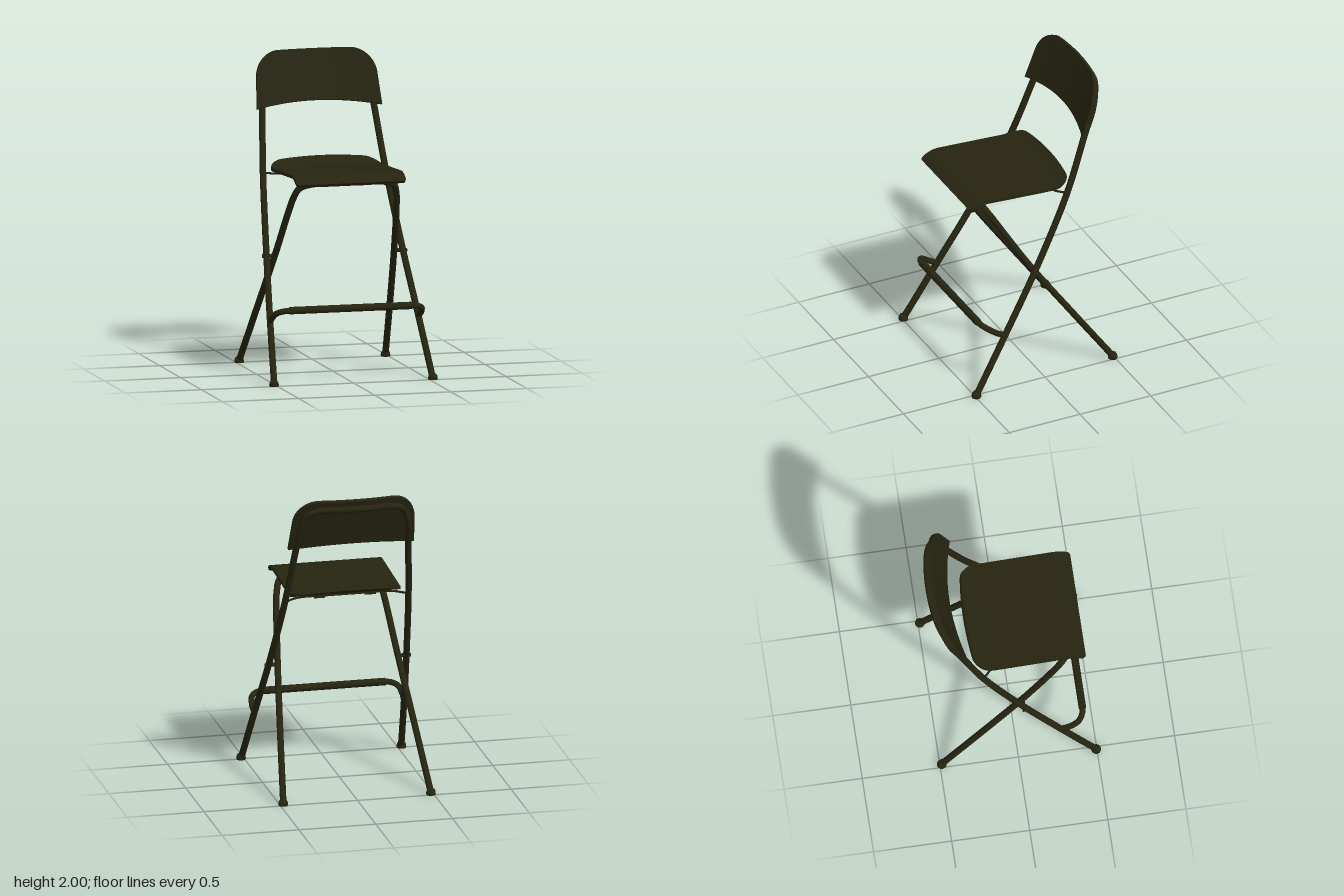
import * as THREE from 'three';

const V = (x, y, z) => new THREE.Vector3(x, y, z);

// Closed curved plate: f(u, v) is the upper face (u, v in -1..1 and 0..1), off(p) the thickness vector.
function slab(f, off, n = 40, m = 24) {
  const pos = [], idx = [];
  const put = p => pos.push(p.x, p.y, p.z) / 3 - 1;
  const top = (i, j) => f(Math.sin((i / n - 0.5) * Math.PI), j / m);
  const low = (i, j) => { const p = top(i, j); return p.clone().add(off(p)); };
  for (const [pt, flip] of [[top, false], [low, true]]) {
    const base = pos.length / 3;
    for (let i = 0; i <= n; i++) for (let j = 0; j <= m; j++) put(pt(i, j));
    for (let i = 0; i < n; i++) for (let j = 0; j < m; j++) {
      const a = base + i * (m + 1) + j, b = a + 1, c = a + m + 1, d = c + 1;
      if (flip) idx.push(a, c, b, b, c, d);
      else idx.push(a, b, c, b, d, c);
    }
  }
  // rim
  const loop = [];
  for (let i = 0; i < n; i++) loop.push([i, 0]);
  for (let j = 0; j < m; j++) loop.push([n, j]);
  for (let i = n; i > 0; i--) loop.push([i, m]);
  for (let j = m; j > 0; j--) loop.push([0, j]);
  const base = pos.length / 3, L = loop.length;
  for (const [i, j] of loop) { put(top(i, j)); put(low(i, j)); }
  for (let k = 0; k < L; k++) {
    const a = base + 2 * k, b = base + 2 * ((k + 1) % L);
    idx.push(a, b, a + 1, b, b + 1, a + 1);
  }
  const g = new THREE.BufferGeometry();
  g.setAttribute('position', new THREE.Float32BufferAttribute(pos, 3));
  g.setIndex(idx);
  g.computeVertexNormals();
  return g;
}

// Drop of a rounded corner of radius r on an edge of half width w
const corner = (x, w, r) => {
  const d = Math.max(0, Math.abs(x) - (w - r));
  return r - Math.sqrt(Math.max(0, r * r - d * d));
};

export function createModel() {
  const model = new THREE.Group();
  const paint = new THREE.MeshStandardMaterial({ color: 0x262410, side: THREE.DoubleSide });
  paint.name = 'dark olive paint';

  const add = (name, geo, x = 0, y = 0, z = 0) => {
    const mesh = new THREE.Mesh(geo, paint);
    mesh.name = name;
    mesh.position.set(x, y, z);
    model.add(mesh);
    return mesh;
  };
  const tube = (name, pts, r, seg = 60) =>
    add(name, new THREE.TubeGeometry(new THREE.CatmullRomCurve3(pts), seg, r, 14));
  // Mirror a half path (ending near the middle) into a full loop
  const mirrored = half => [...half, ...half.slice().reverse().map(p => V(-p.x, p.y, p.z))];

  // Tall frame: front feet up to the hoop behind the backrest
  tube('tallFrame', mirrored([
    V(0.52, 0.02, 0.49), V(0.487, 0.38, 0.275), V(0.447, 0.78, 0.04), V(0.402, 1.26, -0.205),
    V(0.366, 1.65, -0.352), V(0.351, 1.8, -0.412), V(0.32, 1.89, -0.442), V(0.25, 1.935, -0.474),
    V(0.1, 1.94, -0.497),
  ]), 0.021, 200);

  // Short frame: rear feet up to the hoop under the seat
  tube('shortFrame', mirrored([
    V(0.48, 0.02, -0.485), V(0.436, 0.4, -0.215), V(0.39, 0.78, 0.05), V(0.355, 1.07, 0.23),
    V(0.338, 1.17, 0.29), V(0.31, 1.235, 0.33), V(0.24, 1.26, 0.345), V(0.1, 1.262, 0.345),
  ]), 0.021, 200);

  // Footrest loop with a thicker sleeve
  tube('footrest', mirrored([
    V(0.487, 0.38, 0.275), V(0.49, 0.41, 0.33), V(0.475, 0.45, 0.39), V(0.435, 0.466, 0.418),
    V(0.38, 0.47, 0.425), V(0.2, 0.47, 0.425),
  ]), 0.019, 120);
  add('footrestSleeve', new THREE.CylinderGeometry(0.024, 0.024, 0.8, 20), 0, 0.47, 0.425).rotation.z = Math.PI / 2;

  // Feet and pivots
  const footShape = [[0, 0], [0.029, 0], [0.031, 0.008], [0.029, 0.022], [0.022, 0.036], [0, 0.042]]
    .map(p => new THREE.Vector2(...p));
  const foot = new THREE.LatheGeometry(footShape, 20);
  for (const s of [-1, 1]) {
    add('frontFoot', foot, s * 0.522, 0, 0.495);
    add('rearFoot', foot, s * 0.481, 0, -0.488);
    add('pivot', new THREE.CylinderGeometry(0.012, 0.012, 0.1, 14), s * 0.425, 0.765, 0.043).rotation.z = Math.PI / 2;
  }

  // Seat: front lip rolls down, rear edge sweeps up
  const seatSlope = z => 0.06 - 7 * Math.max(0, z - 0.33) - 5.2 * Math.max(0, -0.12 - z);
  const seatY = z => 1.303 + 0.06 * z - 3.5 * Math.max(0, z - 0.33) ** 2 + 2.6 * Math.max(0, -0.12 - z) ** 2;
  add('seat', slab((u, v) => {
    const x = 0.36 * u;
    const back = -0.27 + 0.03 * u * u + corner(x, 0.36, 0.09);
    const front = 0.455 - corner(x, 0.36, 0.02);
    const z = back + (front - back) * v;
    return V(x, seatY(z), z);
  }, p => V(0, -1, seatSlope(p.z)).setLength(0.02)));

  // Backrest: bowed panel with rounded top corners and an arched lower edge
  add('backrest', slab((u, v) => {
    const low = 1.685 - 0.035 * u * u, high = 2.0 - corner(u * 0.39, 0.39, 0.15);
    const y = high + (low - high) * v;
    const x = u * (0.41 - 0.025 * (y - 1.65) / 0.35);
    return V(x, y, -0.368 + 0.05 * u * u - 0.34 * (y - 1.685));
  }, () => V(0, -0.32, -0.95).setLength(0.022)));

  // Folding linkage under the seat
  tube('linkRod', mirrored([
    V(0.402, 1.258, -0.21), V(0.37, 1.258, -0.18), V(0.335, 1.258, -0.15), V(0.28, 1.262, -0.14), V(0.1, 1.262, -0.14),
  ]), 0.007, 80);
  for (const s of [-1, 1]) {
    tube('slideRail', [V(s * 0.165, 1.285, 0.31), V(s * 0.165, 1.272, 0.1), V(s * 0.165, 1.268, -0.16)], 0.008, 20);
    add('hoopClip', new THREE.BoxGeometry(0.07, 0.05, 0.055), s * 0.165, 1.272, 0.345);
    add('railClip', new THREE.BoxGeometry(0.06, 0.026, 0.03), s * 0.165, 1.277, 0.1);
    add('rodClip', new THREE.BoxGeometry(0.07, 0.03, 0.04), s * 0.165, 1.268, -0.14);
  }
  return model;
}
